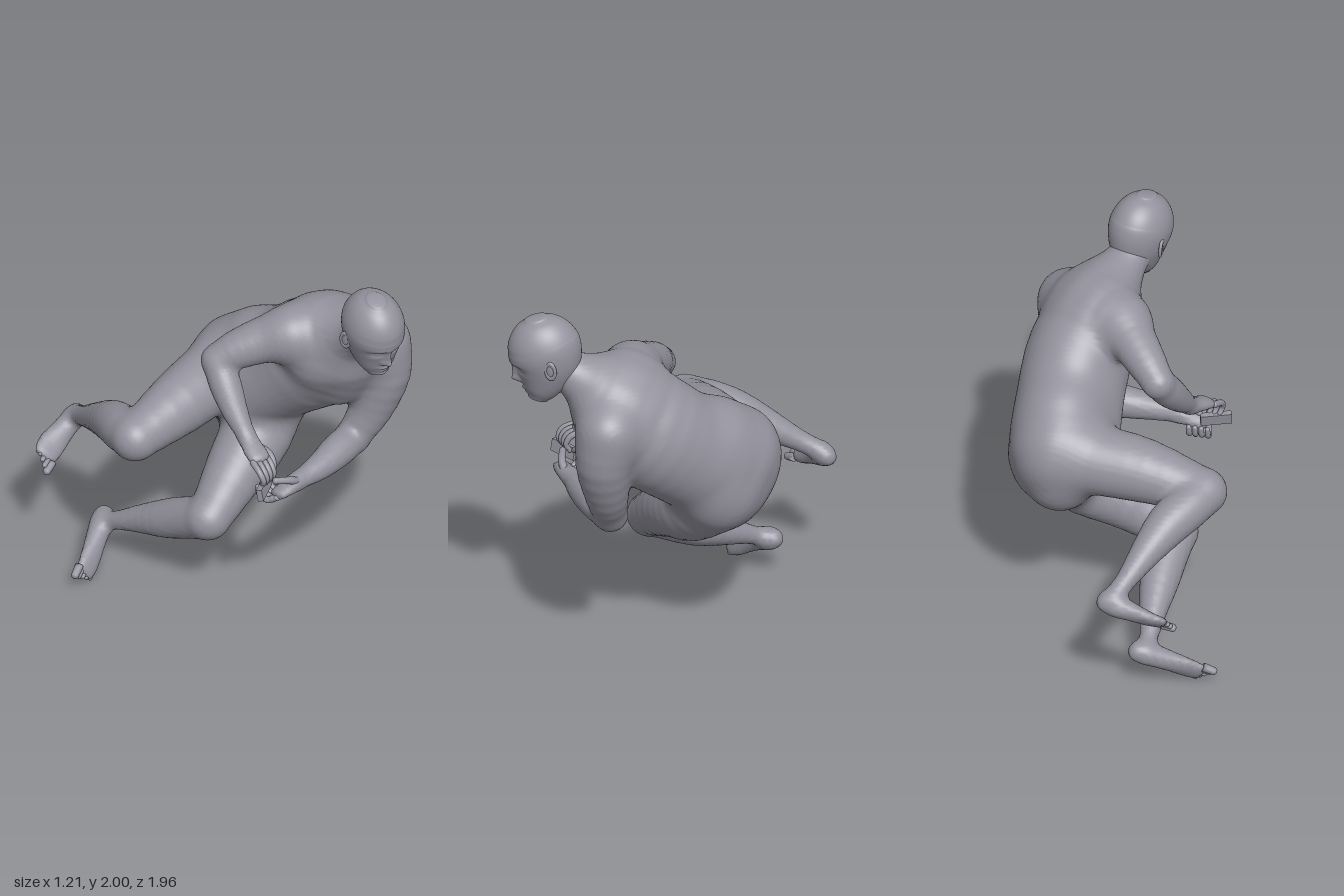
import * as THREE from 'three';

const V = (x, y, z) => new THREE.Vector3(x, y, z);
const curve = points => new THREE.CatmullRomCurve3(points, false, 'catmullrom', 0.5);

// Sections [x, y, z, halfWidth, halfDepth = halfWidth] smoothed into frames.
// sides: width directions, spread evenly along the sections.
function frames(sections, sides = [[0, 0, 1]], steps = 6) {
  const path = curve(sections.map(s => V(s[0], s[1], s[2])));
  const size = curve(sections.map((s, i) => V(s[3], s[4] ?? s[3], i)));
  const n = (sections.length - 1) * steps;
  return Array.from({ length: n + 1 }, (_, i) => {
    const t = i / n, f = t * (sides.length - 1), k = Math.min(Math.floor(f), Math.max(0, sides.length - 2));
    const T = path.getTangent(t), q = size.getPoint(t);
    const S = V(...sides[k]).lerp(V(...sides[Math.min(k + 1, sides.length - 1)]), f - k);
    S.addScaledVector(T, -S.dot(T)).normalize();
    return { c: path.getPoint(t), T, S, N: T.clone().cross(S), w: q.x, d: q.y };
  });
}

// Closed loft with rounded ends
function loft(sections, sides, { radial = 12, steps = 4, cap = 0.8, caps = 5 } = {}) {
  const fs = frames(sections, sides, steps);
  const rings = fs.map(f => [f, 1, 0]);
  for (let j = caps - 1; j >= 0; j--) {
    const a = (j / caps) * Math.PI / 2, s = Math.max(Math.sin(a), 0.001);
    rings.unshift([fs[0], s, -Math.cos(a)]);
    rings.push([fs.at(-1), s, Math.cos(a)]);
  }
  const pos = [], index = [];
  rings.forEach(([f, scale, push], r) => {
    for (let j = 0; j < radial; j++) {
      const a = (j / radial) * Math.PI * 2, A = r * radial + j, B = r * radial + (j + 1) % radial;
      pos.push(...f.c.clone().addScaledVector(f.T, push * cap * Math.min(f.w, f.d))
        .addScaledVector(f.S, Math.cos(a) * f.w * scale).addScaledVector(f.N, Math.sin(a) * f.d * scale));
      if (r < rings.length - 1) index.push(A, B, B + radial, A, B + radial, A + radial);
    }
  });
  return surface(pos, index);
}

function surface(pos, index) {
  const g = new THREE.BufferGeometry();
  g.setAttribute('position', new THREE.Float32BufferAttribute(pos, 3));
  g.setIndex(index);
  g.computeVertexNormals();
  return g;
}

// Distance function of one muscle: a chain of elliptical capsules
function muscle(sections, sides) {
  const fs = frames(sections, sides, 3);
  const bounds = new THREE.Box3().setFromPoints(fs.map(f => f.c)).expandByScalar(Math.max(...fs.map(f => Math.max(f.w, f.d))) + 0.12);
  const o = V();
  return p => {
    if (!bounds.containsPoint(p)) return 1;
    let best = 1;
    for (let i = 0; i < fs.length - 1; i++) {
      const a = fs[i], b = fs[i + 1], ax = b.c.x - a.c.x, ay = b.c.y - a.c.y, az = b.c.z - a.c.z;
      o.subVectors(p, a.c);
      const h = Math.min(1, Math.max(0, (o.x * ax + o.y * ay + o.z * az) / (ax * ax + ay * ay + az * az)));
      o.set(o.x - ax * h, o.y - ay * h, o.z - az * h);
      const w = a.w + (b.w - a.w) * h, d = a.d + (b.d - a.d) * h, s = o.dot(a.S), n = o.dot(a.N), r2 = o.lengthSq();
      const k = Math.sqrt((s / w) ** 2 + (n / d) ** 2 + Math.max(0, r2 - s * s - n * n) / Math.min(w, d) ** 2);
      best = Math.min(best, Math.sqrt(r2) * (1 - 1 / Math.max(k, 1e-6)));
    }
    return best;
  };
}

// Skin over blended muscles: one vertex per grid cell on the surface, one quad per crossed grid edge
function skinOver(muscles, min, max, step) {
  const n = [0, 1, 2].map(a => Math.ceil((max[a] - min[a]) / step) + 1), stride = [1, n[0], n[0] * n[1]];
  const field = new Float32Array(n[0] * n[1] * n[2]), cell = new Int32Array(field.length).fill(-1), p = V();
  const each = (from, to, fn) => {
    for (let z = from; z < n[2] - to; z++) for (let y = from; y < n[1] - to; y++) for (let x = from; x < n[0] - to; x++)
      fn(x + y * stride[1] + z * stride[2], [x, y, z]);
  };
  each(0, 0, (id, g) => {
    p.set(...g.map((v, a) => min[a] + v * step));
    field[id] = muscles.reduce((d, [k, f]) => {
      const e = f(p), h = Math.max(k - Math.abs(d - e), 0);
      return Math.min(d, e) - h * h / (4 * k);
    }, 2);
  });
  const pos = [], index = [];
  each(0, 1, (id, g) => {
    const sum = [0, 0, 0];
    let count = 0;
    for (let c = 0; c < 8; c++) for (let a = 0; a < 3; a++) {
      if (c >> a & 1) continue;
      const bits = [c & 1, c >> 1 & 1, c >> 2 & 1];
      const i = id + bits[0] + bits[1] * stride[1] + bits[2] * stride[2], u = field[i], v = field[i + stride[a]];
      if ((u < 0) === (v < 0)) continue;
      bits[a] = u / (u - v);
      bits.forEach((b, j) => { sum[j] += b; });
      count++;
    }
    if (!count) return;
    cell[id] = pos.length / 3;
    pos.push(...g.map((v, a) => min[a] + (v + sum[a] / count) * step));
  });
  each(1, 1, id => {
    for (let a = 0; a < 3; a++) {
      const inside = field[id] < 0, b = stride[(a + 1) % 3], c = stride[(a + 2) % 3];
      if (inside === (field[id + stride[a]] < 0)) continue;
      const q = [id - b - c, id - c, id, id - b].map(i => cell[i]);
      if (!inside) q.reverse();
      index.push(q[0], q[1], q[2], q[0], q[2], q[3]);
    }
  });
  return surface(pos, index);
}

export function createModel() {
  const model = new THREE.Group();
  const skin = new THREE.MeshStandardMaterial({ color: 0x94939e });
  skin.name = 'clay grey';
  const add = (name, geometry, parent = model) => {
    const mesh = new THREE.Mesh(geometry, skin);
    mesh.name = name;
    parent.add(mesh);
    return mesh;
  };
  const digit = (name, points, r) => add(name, loft(points.map((p, i) => [...p, r * (1 - 0.1 * i)]), [[0.3, 0.5, 0.8]]));

  // Muscles that blend into one body; the first number is the blend width
  const muscles = [];
  const flex = (blend, sections, sides) => muscles.push([blend, muscle(sections, sides)]);

  // Torso, leaning sideways and twisting towards the shoulders
  flex(0.06, [[0.30, 0.92, -0.20, 0.21, 0.19], [0.33, 1.01, -0.11, 0.28, 0.25], [0.34, 1.18, 0.12, 0.29, 0.255],
    [0.32, 1.34, 0.32, 0.30, 0.26], [0.27, 1.48, 0.46, 0.26, 0.20], [0.21, 1.60, 0.57, 0.15, 0.13]],
  [[0.1, -0.65, 0.7], [0.2, -0.6, 0.65], [0.6, -0.3, 0.5]]);
  // Shoulder girdle, chest, belly, hip, neck
  flex(0.12, [[0.43, 1.42, 0.60, 0.15], [0.26, 1.55, 0.43, 0.175], [0.08, 1.56, 0.30, 0.135]], [[0, 1, 0]]);
  flex(0.10, [[0.20, 1.42, 0.54, 0.12], [0.28, 1.24, 0.49, 0.10]]);
  flex(0.08, [[0.14, 1.50, 0.42, 0.11], [0.14, 1.41, 0.41, 0.125], [0.18, 1.32, 0.36, 0.11]]);
  flex(0.12, [[0.23, 1.22, 0.22, 0.15], [0.20, 1.02, -0.02, 0.155]]);
  flex(0.12, [[0.32, 1.20, -0.09, 0.18], [0.30, 1.11, -0.18, 0.19]]);
  flex(0.08, [[0.23, 1.57, 0.54, 0.15], [0.19, 1.62, 0.61, 0.12], [0.11, 1.73, 0.76, 0.10]]);
  // Left arm
  flex(0.05, [[0.44, 1.44, 0.61, 0.15], [0.435, 1.27, 0.63, 0.145], [0.39, 1.05, 0.59, 0.113], [0.31, 0.885, 0.53, 0.085]]);
  flex(0.03, [[0.31, 0.88, 0.53, 0.083], [0.17, 0.885, 0.54, 0.088], [0, 0.875, 0.54, 0.07], [-0.17, 0.87, 0.52, 0.045]], [[0, 1, 0]]);
  flex(0.03, [[-0.16, 0.87, 0.52, 0.045, 0.042], [-0.22, 0.87, 0.515, 0.06, 0.04], [-0.30, 0.86, 0.50, 0.055, 0.03]], [[0, 0.3, 1]]);
  // Right arm
  flex(0.06, [[0.09, 1.56, 0.30, 0.14], [0, 1.525, 0.19, 0.12], [-0.10, 1.47, 0.08, 0.10], [-0.165, 1.42, 0.015, 0.078]], [[0, 1, 0]]);
  flex(0.03, [[-0.165, 1.42, 0.015, 0.078], [-0.20, 1.32, 0.09, 0.083], [-0.24, 1.21, 0.18, 0.067], [-0.275, 1.10, 0.285, 0.043]], [[1, 0, 0]]);
  flex(0.03, [[-0.27, 1.11, 0.275, 0.042, 0.04], [-0.305, 1.08, 0.34, 0.058, 0.035], [-0.33, 1.055, 0.40, 0.06, 0.028]], [[0.9, 0, 0.4]]);
  // Thighs and calves
  flex(0.08, [[0.37, 0.91, -0.05, 0.21], [0.20, 0.76, 0, 0.187], [0, 0.66, 0.02, 0.16], [-0.255, 0.495, 0.03, 0.112]]);
  flex(0.03, [[-0.26, 0.485, 0.01, 0.108], [-0.24, 0.42, -0.13, 0.108], [-0.235, 0.36, -0.26, 0.10],
    [-0.24, 0.295, -0.42, 0.072], [-0.25, 0.235, -0.56, 0.048], [-0.24, 0.20, -0.64, 0.05]], [[1, 0, 0]]);
  flex(0.08, [[0.29, 1.08, -0.20, 0.205], [0.10, 1.06, -0.225, 0.182], [-0.15, 1.04, -0.24, 0.165], [-0.47, 0.99, -0.28, 0.118]]);
  flex(0.03, [[-0.475, 0.99, -0.29, 0.113], [-0.42, 0.965, -0.39, 0.118], [-0.34, 0.92, -0.51, 0.112],
    [-0.26, 0.84, -0.66, 0.082], [-0.19, 0.755, -0.80, 0.055], [-0.14, 0.70, -0.89, 0.052]], [[1, 0, 0]]);

  // Feet from heel to ball, then a row of toes across; bigToe = end of the row
  const foot = (sections, across, bigToe) => {
    flex(0.04, sections, [across]);
    const [before, end] = sections.slice(-2).map(s => V(s[0], s[1], s[2]));
    const dir = end.clone().sub(before).normalize(), W = V(...across).normalize();
    for (let i = 0; i < 5; i++) {
      const a = end.clone().addScaledVector(W, bigToe * (0.054 - 0.027 * i)).addScaledVector(dir, -0.01 * i);
      digit('toe', [[...a], [...a.clone().addScaledVector(dir, 0.062 - 0.004 * i)]], i ? 0.0165 - 0.001 * i : 0.023);
    }
  };
  foot([[-0.215, 0.205, -0.665, 0.05], [-0.27, 0.185, -0.645, 0.058, 0.06], [-0.36, 0.14, -0.615, 0.06, 0.05],
    [-0.45, 0.09, -0.585, 0.07, 0.035], [-0.515, 0.06, -0.57, 0.066, 0.024]], [-0.46, 0.83, -0.31], 1);
  foot([[-0.105, 0.675, -0.915, 0.05], [-0.16, 0.66, -0.915, 0.058, 0.06], [-0.24, 0.635, -0.915, 0.064, 0.048],
    [-0.33, 0.605, -0.915, 0.078, 0.034], [-0.395, 0.585, -0.905, 0.07, 0.024]], [-0.15, 0.73, -0.67], -1);
  add('body', skinOver(muscles, [-0.66, -0.04, -1.04], [0.68, 1.88, 0.9], 0.017));

  // Fingers around the small box
  for (let i = 0; i < 4; i++) {
    const l = -0.22 - 0.033 * i, r = 0.033 * i;
    digit('leftFinger', [[l, 0.845, 0.50], [l - 0.015, 0.82, 0.45], [l - 0.02, 0.84, 0.405], [l - 0.02, 0.885, 0.395]], 0.019);
    digit('rightFinger', [[-0.375 + r, 1.05, 0.39], [-0.40 + r, 1.025, 0.45], [-0.40 + r * 0.9, 0.98, 0.475], [-0.385 + r * 0.8, 0.94, 0.455]], 0.018);
  }
  digit('leftThumb', [[-0.19, 0.89, 0.54], [-0.25, 0.925, 0.53], [-0.32, 0.945, 0.49]], 0.022);
  digit('rightThumb', [[-0.27, 1.08, 0.33], [-0.235, 1.03, 0.39], [-0.25, 0.98, 0.43], [-0.29, 0.945, 0.44]], 0.021);
  const box = add('heldBox', new THREE.BoxGeometry(0.16, 0.065, 0.03));
  box.position.set(-0.37, 0.918, 0.455);
  box.rotation.set(-0.2, 0.35, 0.05);

  // Head, turned and bowed
  const head = new THREE.Group();
  head.name = 'head';
  head.position.set(0.108, 1.772, 0.8);
  head.rotation.set(0.25, -0.42, 0.04, 'YXZ');
  model.add(head);
  const crown = [0, 0.3, 0.58, 0.8, 0.94].map(u => [0, 0.04 + 0.19 * u, -0.005, 0.155 * Math.sqrt(1 - u * u), 0.19 * Math.sqrt(1 - u * u)]);
  const skull = loft([[0, -0.215, 0.09, 0.055, 0.055], [0, -0.17, 0.065, 0.09, 0.095], [0, -0.10, 0.03, 0.122, 0.145],
    [0, -0.03, 0.005, 0.145, 0.178], ...crown], [[1, 0, 0]], { radial: 112, steps: 10, cap: 0.25, caps: 8 });
  // Face relief: x, y, push, spread x, spread y
  const relief = [[0, -0.08, 0.034, 0.022, 0.022], [0, -0.04, 0.022, 0.016, 0.045], [0, -0.14, 0.012, 0.035, 0.010],
    [0, -0.165, 0.009, 0.030, 0.009], [0, -0.21, 0.010, 0.035, 0.020]];
  for (const s of [-1, 1]) relief.push([s * 0.056, -0.015, -0.02, 0.032, 0.022], [s * 0.056, -0.017, 0.010, 0.020, 0.011],
    [s * 0.05, 0.022, 0.004, 0.045, 0.015], [s * 0.022, -0.09, 0.010, 0.010, 0.012]);
  const p = skull.attributes.position;
  for (let i = 0; i < p.count; i++) {
    if (p.getZ(i) < 0.03) continue;
    const push = relief.reduce((sum, [x, y, a, rx, ry]) => sum + a * Math.exp(-(((p.getX(i) - x) / rx) ** 2) - ((p.getY(i) - y) / ry) ** 2), 0);
    p.setZ(i, p.getZ(i) + push);
  }
  skull.computeVertexNormals();
  add('skull', skull, head);
  for (const s of [-1, 1]) {
    const ear = new THREE.Group();
    ear.name = s > 0 ? 'leftEar' : 'rightEar';
    ear.position.set(s * 0.152, -0.02, -0.015);
    ear.rotation.set(-0.15, s * (Math.PI / 2 - 0.45), 0);
    ear.scale.set(1, 1.55, 1);
    add('earRim', new THREE.TorusGeometry(0.026, 0.009, 12, 28), ear);
    add('earBowl', new THREE.SphereGeometry(0.026, 20, 12).scale(1, 1, 0.3), ear);
    head.add(ear);
  }
  return model;
}
